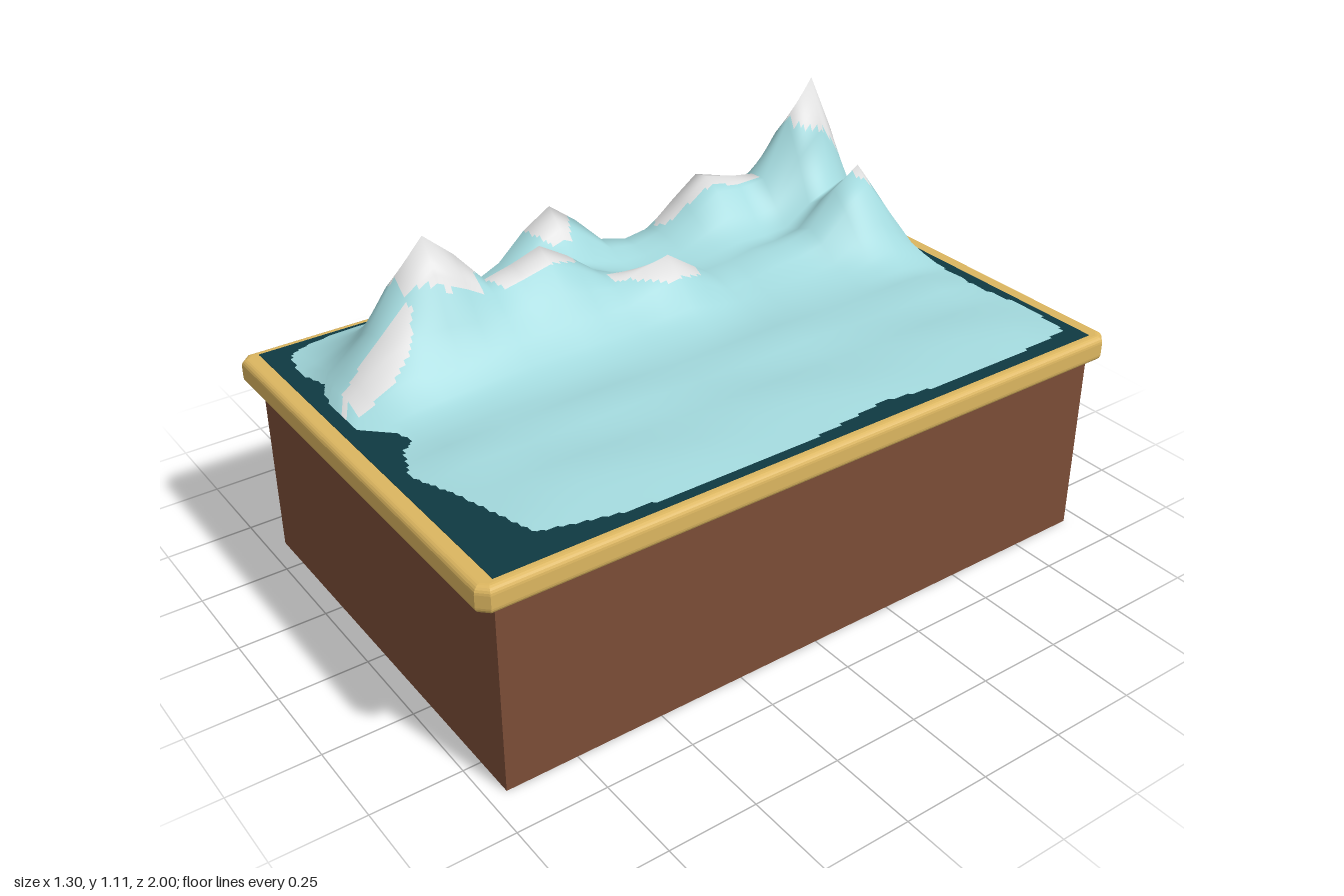
import * as THREE from 'three';

const material = (name, color, side = THREE.FrontSide) => {
  const m = new THREE.MeshStandardMaterial({ color, side });
  m.name = name;
  return m;
};

const W = 1.24, D = 1.9, TOP = 0.622;

// Ridge heights in hundredths: one row per z step (back to front), columns from x = -0.62
const RIDGES = [
  [0, 0, 8, 0, 3, 0, 0],
  [0, 22, 48.5, 17, 28, 13, 2.5],
  [0, 16, 20, 8, 12, 5, 2],
  [0, 22, 20, 8, 9, 4, 2],
  [0, 9, 9, 6, 6, 3, 2],
  [0, 10, 7, 7, 18, 6, 2],
  [0, 25, 12, 14, 13, 5, 2],
  [0, 12, 10, 26, 16, 5, 2],
  [0, 6, 9, 21, 14, 5, 2],
  [0, 6, 21, 38.5, 17, 4, 2],
  [0, 3, 8, 16, 14, 3, 1],
  [0, 0, 0, 1, 2, 0, 0],
];

// Shoreline of the ice sheet, as x, z pairs
const SHORE = [
  [-.58, -.92], [-.57, -.82], [-.6, -.7], [-.615, -.6], [-.6, -.2], [-.61, 0], [-.6, .1], [-.615, .3],
  [-.61, .5], [-.6, .6], [-.59, .8], [-.56, .88], [-.45, .9], [-.36, .87], [-.3, .9], [-.12, .91],
  [-.04, .83], [.02, .82], [.05, .86], [.16, .9], [.28, .85], [.52, .78], [.55, .68], [.58, .55],
  [.59, .3], [.59, .05], [.57, -.1], [.55, -.25], [.575, -.4], [.58, -.6], [.57, -.8], [.555, -.91],
  [.4, -.93], [.2, -.9], [0, -.92], [-.2, -.91], [-.28, -.89], [-.3, -.92], [-.4, -.94],
];

// Snow patches on the summits
const SNOW = [
  [[-.4, -.88], [-.36, -.86], [-.34, -.77], [-.38, -.7], [-.43, -.7], [-.46, -.78], [-.44, -.86]],
  [[-.18, -.82], [-.14, -.81], [-.14, -.77], [-.17, -.75], [-.2, -.79]],
  [[-.52, -.61], [-.41, -.6], [-.42, -.45], [-.45, -.28], [-.5, -.27], [-.55, -.38], [-.52, -.5]],
  [[-.22, -.18], [-.14, -.18], [-.11, -.07], [-.14, 0], [-.19, .08], [-.235, .08], [-.235, -.09]],
  [[-.54, .01], [-.48, .04], [-.43, .06], [-.43, .12], [-.48, .16], [-.55, .2], [-.56, .17], [-.54, .12]],
  [[-.33, .13], [-.26, .16], [-.23, .25], [-.23, .4], [-.28, .43], [-.35, .42], [-.35, .25]],
  [[-.34, .46], [-.22, .47], [-.21, .58], [-.24, .69], [-.31, .7], [-.34, .65]],
  [[-.22, .68], [-.16, .72], [-.12, .8], [-.115, .9], [-.2, .91], [-.23, .82]],
];

const inside = (poly, x, z) => {
  let hit = false;
  poly.forEach(([ax, az], i) => {
    const [bx, bz] = poly[(i + 1) % poly.length];
    if ((az > z) !== (bz > z) && x < ((bx - ax) * (z - az)) / (bz - az) + ax) hit = !hit;
  });
  return hit;
};

// Doubles the resolution of a row of heights with a smooth midpoint rule
const refine = (row) => {
  const out = [];
  row.forEach((b, i) => {
    out.push(b);
    if (i === row.length - 1) return;
    const c = row[i + 1], a = row[i - 1] ?? b, d = row[i + 2] ?? c;
    out.push(Math.max(0, (9 * (b + c) - a - d) / 16));
  });
  return out;
};

// Ice sheet: a coarse relief with smooth normals, sampled finely and trimmed to the shore
function iceGeometry() {
  const full = RIDGES.map((row, j) => {
    const edge = j === 0 || j === 11 ? 0 : 1;
    const plain = [3.2, 2, 2.5, 1.8, 0].map((h, i) => edge * h * (0.85 + 0.15 * Math.sin(j * 1.9 + i * 2)));
    return refine([...row, ...plain]);
  });
  const columns = full[0].map((_, i) => refine(full.map((r) => r[i])));
  const n = columns.length;
  const coarse = new THREE.PlaneGeometry(W, D, n - 1, n - 1).rotateX(-Math.PI / 2);
  const p = coarse.attributes.position;
  for (let k = 0; k < p.count; k++) p.setY(k, columns[k % n][Math.floor(k / n)] / 100);
  coarse.computeVertexNormals();
  const normals = coarse.attributes.normal;

  const NX = 132, NZ = 198;
  const fine = new THREE.PlaneGeometry(W, D, NX, NZ).rotateX(-Math.PI / 2);
  const pos = fine.attributes.position, nor = fine.attributes.normal;
  const land = [];
  for (let k = 0; k < pos.count; k++) {
    const x = pos.getX(k), z = pos.getZ(k);
    const u = (x / W + 0.5) * (n - 1), v = (z / D + 0.5) * (n - 1);
    const i = Math.min(n - 2, Math.max(0, Math.floor(u))), j = Math.min(n - 2, Math.max(0, Math.floor(v)));
    const s = u - i, t = v - j;
    let y = 0;
    const normal = new THREE.Vector3();
    [[0, 0, (1 - s) * (1 - t)], [1, 0, s * (1 - t)], [0, 1, (1 - s) * t], [1, 1, s * t]].forEach(([a, b, w]) => {
      const q = (j + b) * n + i + a;
      y += p.getY(q) * w;
      normal.add(new THREE.Vector3().fromBufferAttribute(normals, q).multiplyScalar(w));
    });
    normal.normalize();
    land[k] = inside(SHORE, x, z);
    pos.setY(k, TOP + (land[k] ? y + 0.001 : -0.001));
    nor.setXYZ(k, normal.x, normal.y, normal.z);
  }

  const ice = [], snow = [];
  for (let j = 0; j < NZ; j++) for (let i = 0; i < NX; i++) {
    const a = j * (NX + 1) + i, b = a + 1, c = a + NX + 1, d = c + 1;
    if (![a, b, c, d].some((k) => land[k])) continue;
    const x = (pos.getX(a) + pos.getX(d)) / 2, z = (pos.getZ(a) + pos.getZ(d)) / 2;
    (SNOW.some((s) => inside(s, x, z)) ? snow : ice).push(a, c, b, c, d, b);
  }
  fine.setIndex(ice.concat(snow));
  fine.clearGroups();
  fine.addGroup(0, ice.length, 0);
  fine.addGroup(ice.length, snow.length, 1);
  return fine;
}

// Rounded frame slab with clipped corners
function rimGeometry() {
  const x = 0.63, z = 0.98, c = 0.015, bevel = 0.02;
  const shape = new THREE.Shape([
    [x - c, -z], [x, c - z], [x, z - c], [x - c, z], [c - x, z], [-x, z - c], [-x, c - z], [c - x, -z],
  ].map(([a, b]) => new THREE.Vector2(a, b)));
  return new THREE.ExtrudeGeometry(shape, {
    depth: 0.035, bevelThickness: bevel, bevelSize: bevel, bevelSegments: 5,
  }).rotateX(-Math.PI / 2).translate(0, 0.545 + bevel, 0);
}

export function createModel() {
  const model = new THREE.Group();
  const wood = material('brown wood', 0x7b4d37);
  const gold = material('gold trim', 0xdcb660);
  const sea = material('deep teal', 0x0f3a42);
  const ice = material('pale ice', 0xa2d8dc, THREE.DoubleSide);
  const snow = material('snow', 0xdedede, THREE.DoubleSide);

  const add = (name, geometry, mat) => {
    const mesh = new THREE.Mesh(geometry, mat);
    mesh.name = name;
    model.add(mesh);
  };
  add('base', new THREE.BoxGeometry(W, 0.56, D).translate(0, 0.28, 0), wood);
  add('rim', rimGeometry(), gold);
  add('sea', new THREE.BoxGeometry(W, 0.004, D).translate(0, 0.6195, 0), sea);
  add('iceSheet', iceGeometry(), [ice, snow]);
  return model;
}
